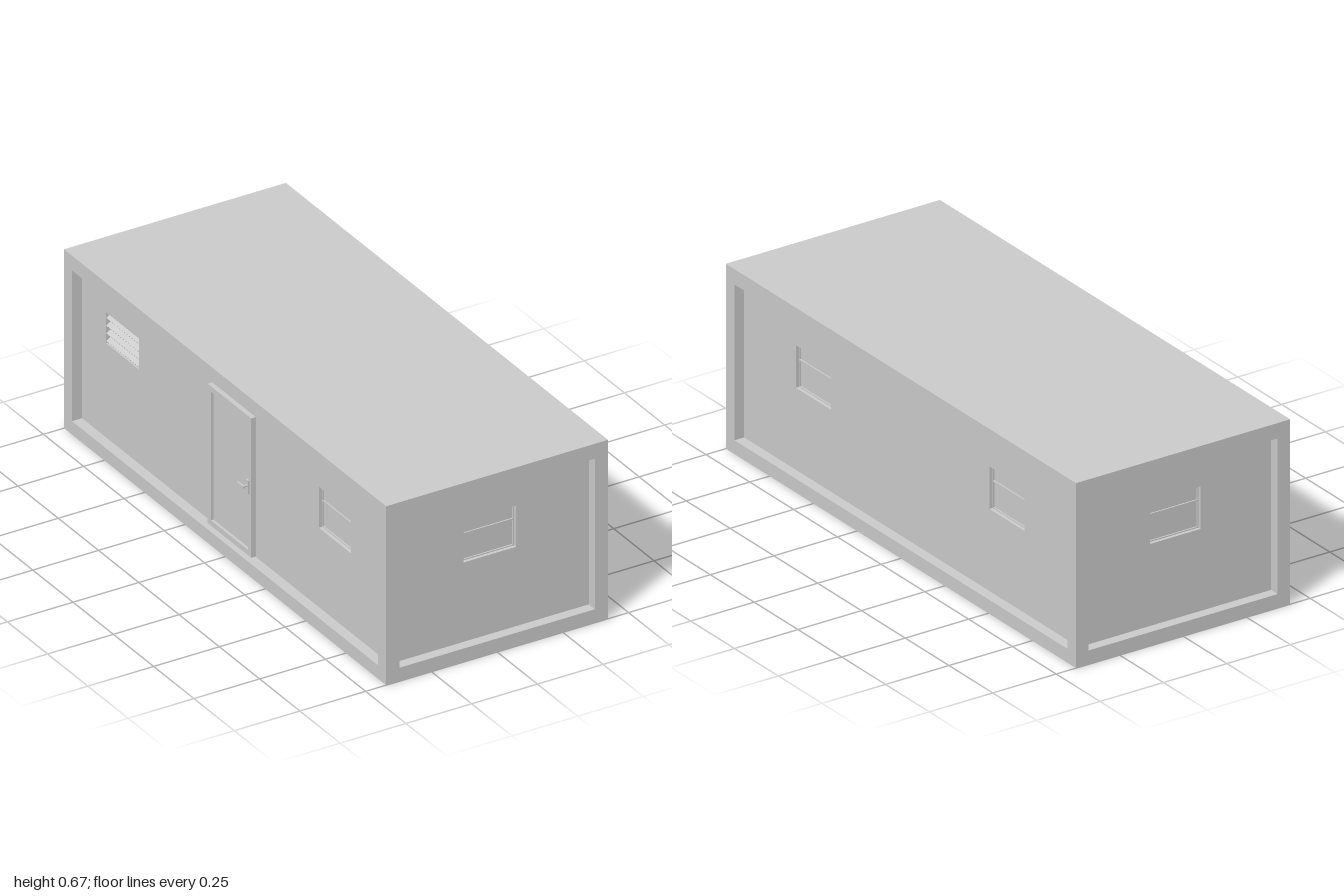
import * as THREE from 'three';

const W = 0.844, H = 0.665, L = 2;   // overall size
const RIM = 0.05, DEPTH = 0.038;     // wall border and panel recess
const mat = new THREE.MeshStandardMaterial({ color: 0xcccccc, side: THREE.DoubleSide });

function add(group, name, geo, x = 0, y = 0, z = 0) {
  const m = new THREE.Mesh(geo, mat);
  m.name = name;
  m.position.set(x, y, z);
  group.add(m);
  return m;
}

// A rectangle is [x0, y0, x1, y1]
const corners = ([a, b, c, d]) => [[a, b], [c, b], [c, d], [a, d]].map(p => new THREE.Vector2(...p));
const inset = ([a, b, c, d], t) => [a + t, b + t, c - t, d - t];

// Flat sheet with rectangular openings
function sheet(rect, holes, z) {
  const s = new THREE.Shape(corners(rect));
  holes.forEach(h => s.holes.push(new THREE.Path(corners(h))));
  return new THREE.ShapeGeometry(s).translate(0, 0, z);
}

// Four faces joining the same rectangle at two depths
function reveal(rect, z0, z1) {
  const c = corners(rect), pos = [];
  c.forEach((a, i) => {
    const b = c[(i + 1) % 4];
    pos.push(a.x, a.y, z0, b.x, b.y, z0, b.x, b.y, z1, a.x, a.y, z0, b.x, b.y, z1, a.x, a.y, z1);
  });
  const g = new THREE.BufferGeometry();
  g.setAttribute('position', new THREE.Float32BufferAttribute(pos, 3));
  g.computeVertexNormals();
  return g;
}

// Window with a small upper pane and a larger lower pane
function windowPart(x0, z) {
  const g = new THREE.Group();
  g.name = 'window';
  const rect = [x0, 0.345, x0 + 0.2, 0.498];
  const panes = [
    [x0 + 0.004, 0.349, x0 + 0.196, 0.44],
    [x0 + 0.004, 0.446, x0 + 0.196, 0.494],
  ];
  add(g, 'windowReveal', reveal(rect, z, z - 0.012));
  add(g, 'windowFrame', sheet(rect, panes, z - 0.012));
  panes.forEach(p => {
    add(g, 'paneEdge', reveal(p, z - 0.012, z - 0.017));
    add(g, 'pane', sheet(p, [], z - 0.017));
  });
  return { rect, group: g };
}

// Ventilation grille with sloping slats
function grillePart(x0, z) {
  const g = new THREE.Group();
  g.name = 'grille';
  const rect = [x0, 0.4, x0 + 0.205, 0.515], n = 4, step = 0.115 / n;
  add(g, 'grilleReveal', reveal(rect, z, z - 0.02));
  add(g, 'grilleBack', sheet(rect, [], z - 0.02));
  for (let i = 0; i < n; i++) {
    add(g, 'slat', new THREE.BoxGeometry(0.2, 0.003, 0.022),
      x0 + 0.1025, 0.4 + step * (i + 0.5), z - 0.009).rotation.x = 0.6;
  }
  return { rect, group: g };
}

// Door standing proud of the wall panel, with a lever handle
function doorPart(x0, z) {
  const g = new THREE.Group();
  g.name = 'door';
  const rect = [x0, 0.052, x0 + 0.27, 0.57], leaf = inset(rect, 0.02), face = z + 0.018;
  add(g, 'doorFrameSides', reveal(rect, z, face));
  add(g, 'doorFrame', sheet(rect, [leaf], face));
  add(g, 'doorLeafEdge', reveal(leaf, face, face - 0.01));
  add(g, 'doorLeaf', sheet(leaf, [], face - 0.01));
  const hx = x0 + 0.253;
  add(g, 'handlePlate', new THREE.BoxGeometry(0.014, 0.05, 0.006), hx, 0.31, face + 0.003);
  const stem = add(g, 'handleStem', new THREE.CylinderGeometry(0.004, 0.004, 0.02, 10), hx, 0.315, face + 0.013);
  stem.rotation.x = Math.PI / 2;
  add(g, 'handleLever', new THREE.BoxGeometry(0.04, 0.008, 0.006), hx - 0.013, 0.315, face + 0.022);
  return { rect, group: g };
}

// Wall facing +z: border, recessed panel and its fittings
function wall(name, width, dist, angle, fittings) {
  const g = new THREE.Group();
  g.name = name;
  const outer = [-width / 2, 0, width / 2, H], inner = inset(outer, RIM), z = dist - DEPTH;
  inner[3] = 0.61;
  const parts = fittings.map(([make, x0]) => make(x0, z));
  add(g, 'wallBorder', sheet(outer, [inner], dist));
  add(g, 'wallReveal', reveal(inner, dist, z));
  add(g, 'wallPanel', sheet(inner, parts.map(p => p.rect), z));
  parts.forEach(p => g.add(p.group));
  g.rotation.y = angle;
  return g;
}

export function createModel() {
  const model = new THREE.Group();
  model.name = 'portableCabin';
  model.add(
    wall('frontWall', W, L / 2, 0, [[windowPart, -0.105]]),
    wall('backWall', W, L / 2, Math.PI, [[windowPart, -0.105]]),
    wall('plainSideWall', L, W / 2, Math.PI / 2, [[windowPart, -0.655], [windowPart, 0.45]]),
    wall('doorSideWall', L, W / 2, -Math.PI / 2,
      [[grillePart, -0.8], [doorPart, -0.14], [windowPart, 0.52]]),
  );
  // Roof sheet; the underside is open
  add(model, 'roof', new THREE.PlaneGeometry(W, L).rotateX(-Math.PI / 2), 0, H, 0);
  return model;
}
